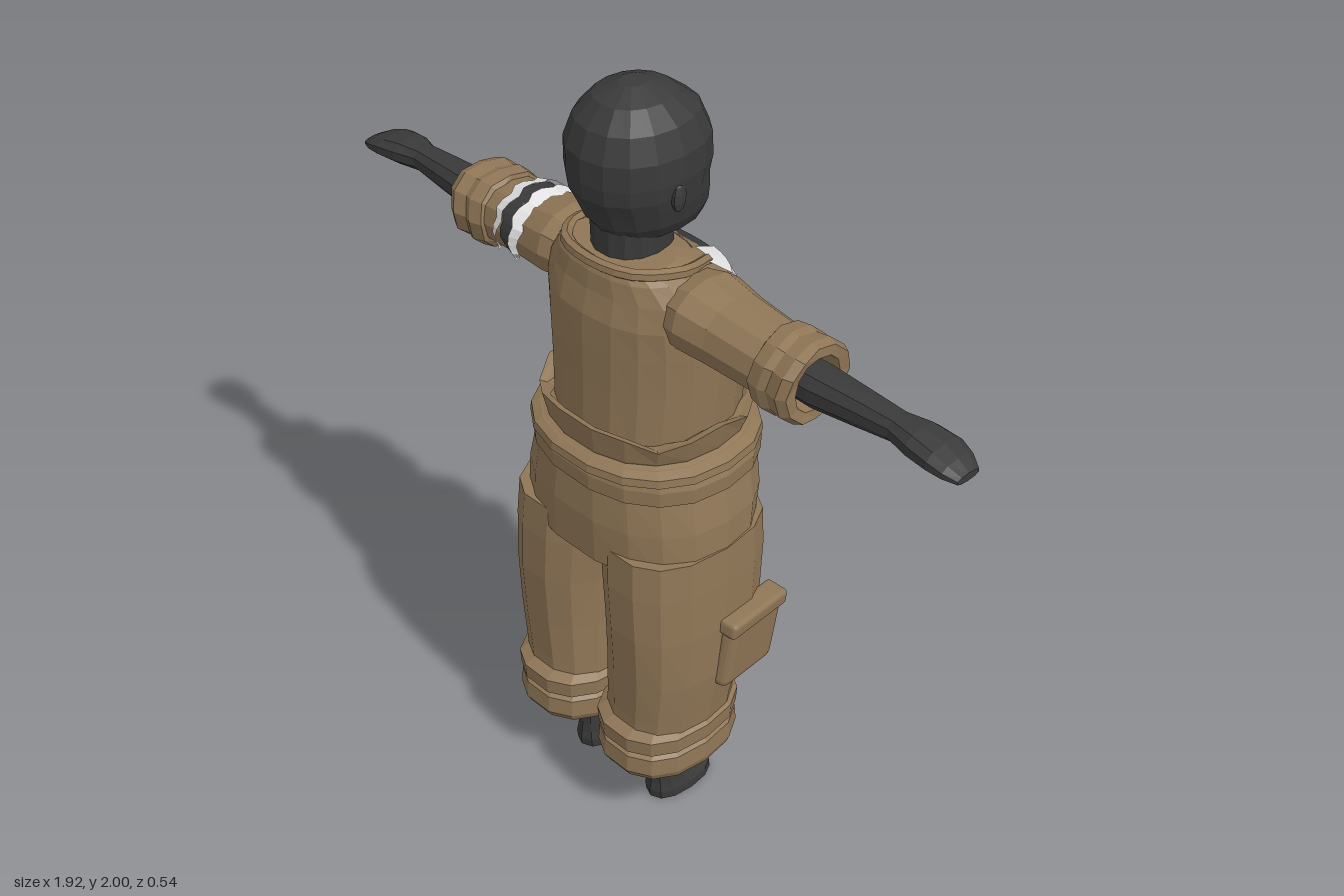
import * as THREE from 'three';
import { RoundedBoxGeometry } from 'three/addons/geometries/RoundedBoxGeometry.js';

const mat = (name, color, side = THREE.FrontSide) => {
  const m = new THREE.MeshStandardMaterial({ color, flatShading: true, side });
  m.name = name;
  return m;
};

// Superellipse point on a ring [height, centreX, centreZ, radiusX, radiusZ]
function ringPoint([h, cx, cz, rx, rz], t, e) {
  const p = v => Math.sign(v) * Math.abs(v) ** (2 / e);
  return [cx + rx * p(Math.cos(t)), h, cz + rz * p(Math.sin(t))];
}

// Capped skin over rings stacked along y; shape() may move single vertices
function loft(rings, n = 14, e = 2.2, shape) {
  const pos = [], idx = [];
  rings.forEach((r, i) => {
    for (let j = 0; j < n; j++) {
      const v = ringPoint(r, (j / n) * Math.PI * 2, e);
      if (shape) shape(v, i, j);
      pos.push(...v);
    }
  });
  const last = rings.length - 1, c0 = rings.length * n;
  for (const r of [rings[0], rings[last]]) pos.push(r[1], r[0], r[2]);
  for (let j = 0; j < n; j++) {
    const k = (j + 1) % n;
    for (let i = 0; i < last; i++) {
      const a = i * n + j, b = i * n + k;
      idx.push(a, a + n, b + n, a, b + n, b);
    }
    idx.push(c0, j, k, c0 + 1, last * n + k, last * n + j);
  }
  const g = new THREE.BufferGeometry();
  g.setAttribute('position', new THREE.Float32BufferAttribute(pos, 3));
  g.setIndex(idx);
  g.computeVertexNormals();
  return g;
}

// Same along x, rings as [x, centreY, centreZ, radiusY, radiusZ]
const loftX = (rings, n, e, shape) =>
  loft(rings.map(([x, cy, ...r]) => [x, -cy, ...r]), n, e, shape).rotateZ(-Math.PI / 2);

function mirror(geo) {
  const g = geo.clone().scale(-1, 1, 1), ix = g.index.array;
  for (let i = 0; i < ix.length; i += 3) [ix[i], ix[i + 1]] = [ix[i + 1], ix[i]];
  g.computeVertexNormals();
  return g;
}

// Open sheet with u,v in 0..1 placed by fn(u, v) -> [x, y, z]
function sheet(fn, nu, nv) {
  const g = new THREE.PlaneGeometry(1, 1, nu, nv), p = g.attributes.position;
  for (let i = 0; i < p.count; i++) p.setXYZ(i, ...fn(p.getX(i) + 0.5, 0.5 - p.getY(i)));
  g.computeVertexNormals();
  return g;
}

const TORSO = [
  [1.14, 0, 0.01, 0.215, 0.205], [1.3, 0, 0, 0.225, 0.212], [1.4, 0, 0.005, 0.23, 0.207],
  [1.48, 0, 0.025, 0.23, 0.185], [1.54, 0, 0.035, 0.22, 0.16], [1.585, 0, 0.065, 0.18, 0.125],
  [1.61, 0, 0.09, 0.14, 0.09],
];

// Chest surface depth at x, y
function chest(x, y, off) {
  let i = 0;
  while (i < TORSO.length - 2 && TORSO[i + 1][0] < y) i++;
  const a = TORSO[i], b = TORSO[i + 1], t = (y - a[0]) / (b[0] - a[0]);
  const [, , cz, rx, rz] = a.map((v, k) => v + (b[k] - v) * t);
  return cz - off - rz * Math.max(0, 1 - Math.abs(x / rx) ** 2.3) ** (1 / 2.3);
}

// Cloth patch on the chest between two edges of [x, y] points
function chestPatch(left, right, off, nu = 4) {
  return sheet((u, v) => {
    const k = Math.round(v * (left.length - 1)), a = left[k], b = right[k];
    const x = a[0] + (b[0] - a[0]) * u, y = a[1] + (b[1] - a[1]) * u;
    return [x, y, chest(x, y, off)];
  }, nu, left.length - 1);
}

export function createModel() {
  const root = new THREE.Group();
  const cloth = mat('brown cloth', 0x8f7656), clothOpen = mat('brown cloth sheet', 0x8f7656, THREE.DoubleSide);
  const skin = mat('dark skin', 0x3a3a3a), skinOpen = mat('dark skin sheet', 0x3a3a3a, THREE.DoubleSide);
  const lining = mat('white lining', 0xe4e4e4, THREE.DoubleSide);
  const metal = mat('grey metal', 0x8c9098);
  const add = (name, geo, m, parent = root) => {
    const o = new THREE.Mesh(geo, m);
    o.name = name;
    parent.add(o);
    return o;
  };
  const pair = (name, geo, m) => {
    add(name + 'Left', geo, m);
    add(name + 'Right', mirror(geo), m);
  };

  // Head and neck
  add('neck', loft([[1.5, 0, 0.06, 0.09, 0.1], [1.58, 0, 0.055, 0.083, 0.095], [1.72, 0, 0.06, 0.09, 0.09]]), skin);
  add('head', loft([
    [1.635, 0, 0, 0.07, 0.105], [1.655, 0, 0.004, 0.098, 0.134], [1.69, 0, 0.014, 0.12, 0.15],
    [1.735, 0, 0.025, 0.133, 0.158], [1.77, 0, 0.037, 0.14, 0.165], [1.81, 0, 0.036, 0.146, 0.172],
    [1.87, 0, 0.038, 0.146, 0.17], [1.93, 0, 0.04, 0.125, 0.146], [1.975, 0, 0.048, 0.085, 0.095],
    [2, 0, 0.05, 0.03, 0.035]], 16, 2.15), skin);
  add('nose', new THREE.ConeGeometry(0.022, 0.06, 4).translate(0, 1.755, -0.128), skin);
  add('lips', new THREE.SphereGeometry(0.03, 8, 5).scale(1, 0.4, 0.5).translate(0, 1.695, -0.132), skin);
  pair('ear', new THREE.SphereGeometry(0.035, 6, 5).scale(0.3, 1, 0.6).translate(0.14, 1.77, 0.05), skin);

  // Shirt body
  add('shirt', loft(TORSO, 20, 2.3), cloth);
  const vEdge = [[0.1, 1.592], [0.07, 1.54], [0.04, 1.48], [0.015, 1.44], [0, 1.41]];
  const flip = pts => pts.map(([x, y]) => [-x, y]);
  add('openNeck', chestPatch(vEdge, flip(vEdge), 0.004, 6), skinOpen);
  pair('lapel', chestPatch(vEdge, [[0.155, 1.578], [0.18, 1.54], [0.15, 1.495], [0.125, 1.45], [0.05, 1.425]], 0.012), lining);
  const line = (x, ys) => ys.map(y => [x, y]);
  add('placket', chestPatch(line(-0.015, [1.42, 1.35, 1.25, 1.16]), line(0.015, [1.42, 1.35, 1.25, 1.16]), 0.007, 2), clothOpen);
  add('breastPocket', chestPatch([[-0.05, 1.38], [-0.05, 1.32], [-0.06, 1.265]], [[-0.165, 1.38], [-0.165, 1.32], [-0.15, 1.265]], 0.012), clothOpen);
  add('breastPocketFlap', chestPatch(line(-0.045, [1.39, 1.35]), line(-0.17, [1.39, 1.35]), 0.018), clothOpen);

  // Rolled collar round the back of the neck
  const half = [[0.135, 1.57, -0.045], [0.163, 1.597, 0.06], [0.11, 1.607, 0.155]];
  const collarPts = [...half, [0, 1.608, 0.182], ...half.map(([x, y, z]) => [-x, y, z]).reverse()];
  add('collar', new THREE.TubeGeometry(new THREE.CatmullRomCurve3(collarPts.map(p => new THREE.Vector3(...p))), 18, 0.015, 6), cloth);

  // Loose hem with an uneven top, and the waistband below
  add('shirtHem', loft([
    [1.1, 0, 0.01, 0.22, 0.21], [1.135, 0, 0.012, 0.238, 0.22], [1.195, 0, 0.012, 0.255, 0.232],
    [1.19, 0, 0.012, 0.235, 0.215], [1.17, 0, 0.012, 0.21, 0.2]], 18, 2.3,
    (v, i, j) => { if (i === 2 || i === 3) v[1] += [0.012, 0, -0.018, 0.008, 0.01][j % 5]; }), cloth);
  add('waistband', loft([
    [1.03, 0, 0.015, 0.255, 0.23], [1.045, 0, 0.015, 0.276, 0.244], [1.085, 0, 0.015, 0.278, 0.246],
    [1.12, 0, 0.015, 0.262, 0.238], [1.135, 0, 0.015, 0.22, 0.2]], 18, 2.3,
    (v, i) => { if (i === 1 || i === 2) v[1] -= v[0] * 0.03; }), cloth);
  add('belt', loft([[1.088, 0, 0.015, 0.265, 0.24], [1.095, 0, 0.015, 0.279, 0.25], [1.115, 0, 0.015, 0.276, 0.247], [1.125, 0, 0.015, 0.25, 0.23]], 18, 2.3), cloth);

  // Trousers
  add('hips', loft([
    [0.78, 0, 0.035, 0.2, 0.15], [0.83, 0, 0.035, 0.297, 0.217], [0.95, 0, 0.022, 0.288, 0.233],
    [1.05, 0, 0.015, 0.265, 0.232], [1.1, 0, 0.015, 0.25, 0.225]], 18, 2.4), cloth);
  pair('trouserLeg', loft([
    [0.3, 0.147, 0.078, 0.13, 0.16], [0.38, 0.152, 0.075, 0.134, 0.163], [0.5, 0.16, 0.06, 0.141, 0.183],
    [0.65, 0.161, 0.045, 0.145, 0.206], [0.78, 0.153, 0.038, 0.15, 0.213], [0.88, 0.148, 0.035, 0.148, 0.21]], 14, 2.4), cloth);
  pair('trouserCuff', loft([
    [0.3, 0.147, 0.078, 0.1, 0.13], [0.21, 0.147, 0.08, 0.115, 0.15], [0.203, 0.147, 0.08, 0.135, 0.173],
    [0.225, 0.147, 0.082, 0.143, 0.184], [0.272, 0.147, 0.082, 0.14, 0.18], [0.282, 0.147, 0.08, 0.13, 0.168],
    [0.292, 0.147, 0.082, 0.142, 0.183], [0.335, 0.147, 0.082, 0.144, 0.186], [0.35, 0.147, 0.08, 0.125, 0.158]], 14, 2.4), cloth);

  // Cargo pocket on the outer left leg
  const cargo = new THREE.Group();
  cargo.name = 'cargoPocket';
  cargo.position.set(0.295, 0.555, -0.04);
  cargo.rotation.set(-0.08, 0.12, -0.09);
  root.add(cargo);
  add('pocketBag', new RoundedBoxGeometry(0.055, 0.21, 0.2, 2, 0.025), cloth, cargo);
  add('pocketFlap', new RoundedBoxGeometry(0.065, 0.045, 0.215, 2, 0.012).translate(0, 0.09, 0), cloth, cargo);

  // Hip pouch with flap and button
  const pouch = new THREE.Group();
  pouch.name = 'hipPouch';
  pouch.position.set(-0.207, 1.02, -0.2);
  pouch.rotation.y = Math.atan2(-0.57, -0.82);
  root.add(pouch);
  add('pouchBag', new RoundedBoxGeometry(0.155, 0.14, 0.06, 2, 0.025), cloth, pouch);
  add('pouchFlap', new RoundedBoxGeometry(0.17, 0.075, 0.072, 2, 0.018).translate(0, 0.04, 0.002), cloth, pouch);
  add('pouchButton', new THREE.OctahedronGeometry(0.017, 0).translate(0, 0, 0.038), metal, pouch);

  // Sleeves with rolled cuffs
  pair('sleeve', loftX([
    [0.12, 1.5, 0.035, 0.075, 0.09], [0.22, 1.508, 0.037, 0.09, 0.112], [0.3, 1.497, 0.035, 0.085, 0.1],
    [0.46, 1.485, 0.035, 0.08, 0.09]], 12, 2.2), cloth);
  pair('sleeveCuff', loftX([
    [0.43, 1.485, 0.035, 0.075, 0.08], [0.44, 1.484, 0.035, 0.095, 0.1], [0.475, 1.482, 0.035, 0.1, 0.108],
    [0.495, 1.483, 0.035, 0.093, 0.1], [0.53, 1.484, 0.036, 0.096, 0.108], [0.552, 1.485, 0.036, 0.088, 0.096],
    [0.55, 1.485, 0.036, 0.065, 0.07], [0.5, 1.485, 0.036, 0.055, 0.06]], 12, 2.2,
    (v, i, j) => { if (i > 0 && i < 6) v[1] += 0.006 * Math.sin(j * 1.7); }), cloth);

  // Torn right sleeve: dark gap with ragged white edges over the upper arm
  const tear = (x0, w, grow0, grow1) => sheet((u, v) => {
    const t = -0.5 + v * (Math.PI + 1), taper = Math.sin(v * Math.PI) ** 0.5;
    const jag = 0.008 * Math.sin(v * 37);
    const r = 1 + grow0 + (grow1 - grow0) * u;
    return [x0 + ((u - 0.5) * w + jag) * taper, 1.492 + 0.085 * r * Math.sin(t), 0.035 + 0.1 * r * Math.cos(t)];
  }, 2, 18);
  add('sleeveTear', tear(-0.338, 0.07, 0.03, 0.05), skinOpen);
  add('tornEdgeOuter', tear(-0.373, 0.036, 0.04, 0.15), lining);
  add('tornEdgeInner', tear(-0.307, 0.036, 0.15, 0.06), lining);

  // Arms, hands and thumbs
  pair('arm', loftX([
    [0.4, 1.485, 0.035, 0.045, 0.05], [0.56, 1.483, 0.035, 0.048, 0.053], [0.68, 1.486, 0.033, 0.04, 0.043],
    [0.77, 1.487, 0.03, 0.032, 0.037], [0.83, 1.485, 0.028, 0.034, 0.055], [0.89, 1.48, 0.028, 0.028, 0.06],
    [0.93, 1.474, 0.032, 0.02, 0.052], [0.962, 1.466, 0.035, 0.01, 0.035]], 10, 2.2), skin);
  pair('thumb', loftX([
    [0.79, 1.475, 0.005, 0.015, 0.016], [0.83, 1.45, -0.012, 0.02, 0.02], [0.87, 1.442, -0.018, 0.015, 0.016],
    [0.895, 1.442, -0.018, 0.007, 0.008]], 7, 2), skin);

  // Shins and bare feet
  pair('foot', loft([
    [0, 0.132, 0.027, 0.052, 0.1], [0.025, 0.132, 0.03, 0.053, 0.1], [0.05, 0.132, 0.05, 0.046, 0.075],
    [0.08, 0.132, 0.067, 0.04, 0.055], [0.12, 0.133, 0.068, 0.038, 0.05], [0.2, 0.135, 0.063, 0.05, 0.06],
    [0.32, 0.14, 0.065, 0.055, 0.065]], 12, 2.3), skin);

  return root;
}
